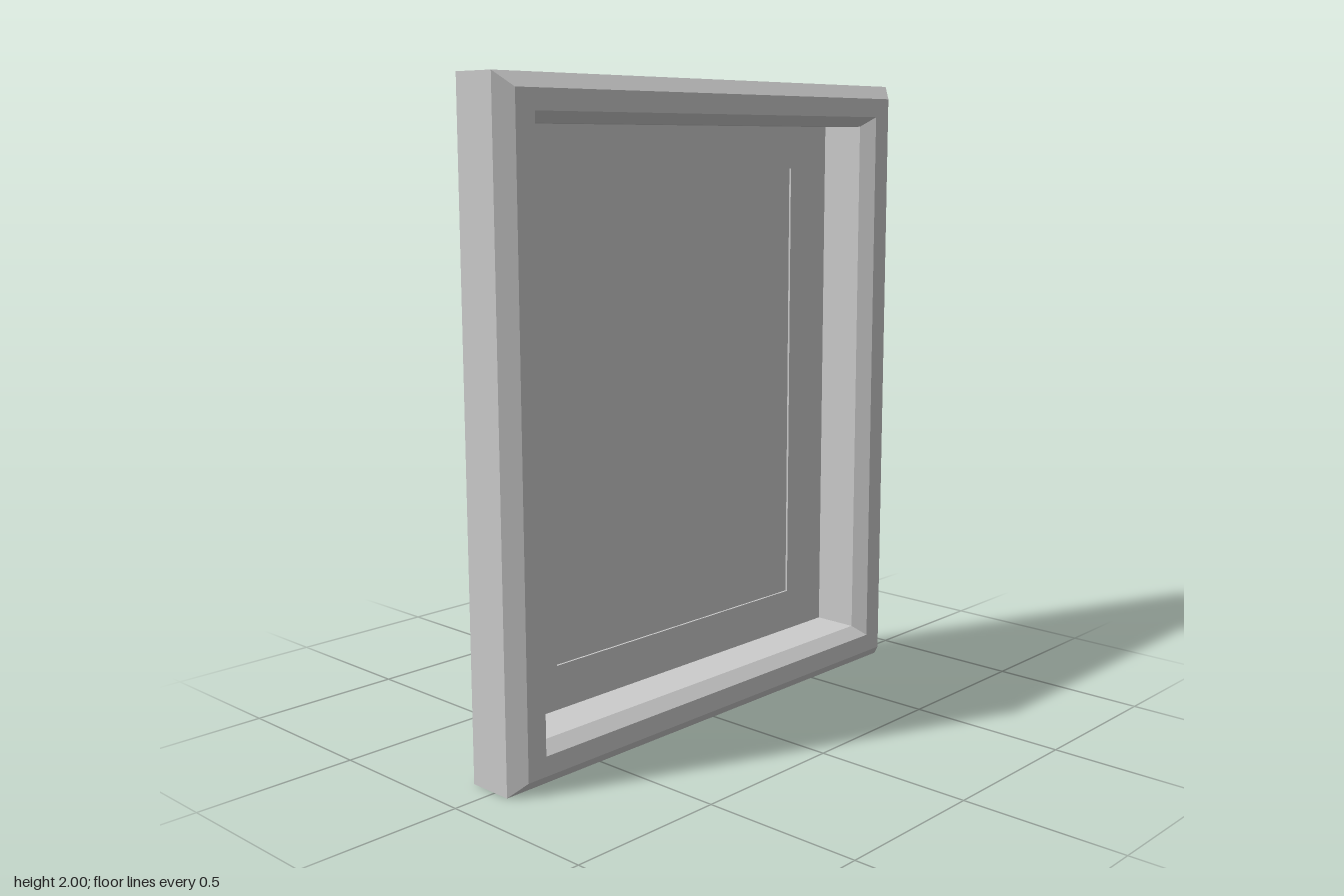
import * as THREE from 'three';

const material = new THREE.MeshStandardMaterial({ color: 0xcccccc, side: THREE.DoubleSide, flatShading: true });

// Four corners of a rectangle, counter-clockwise from the front: [half width, half height, z]
const corners = ([w, h, z]) => [[-w, -h, z], [w, -h, z], [w, h, z], [-w, h, z]];

function addQuad(out, a, b, c, d) {
  out.push(...a, ...b, ...c, ...a, ...c, ...d);
}

// Mitred band through successive rectangles, optionally closed by the last one
function sheet(name, rects, capped = false) {
  const out = [];
  const loops = rects.map(corners);
  for (let i = 0; i < loops.length - 1; i++) {
    for (let j = 0; j < 4; j++) {
      const k = (j + 1) % 4;
      addQuad(out, loops[i][j], loops[i][k], loops[i + 1][k], loops[i + 1][j]);
    }
  }
  if (capped) addQuad(out, ...loops[loops.length - 1]);
  const geometry = new THREE.BufferGeometry();
  geometry.setAttribute('position', new THREE.Float32BufferAttribute(out, 3));
  geometry.computeVertexNormals();
  const mesh = new THREE.Mesh(geometry, material);
  mesh.name = name;
  mesh.position.y = 1;
  return mesh;
}

export function createModel() {
  const group = new THREE.Group();
  group.name = 'framedPanel';

  const outerBack = [0.86, 1, -0.091];
  const outerEdge = [0.86, 1, 0.054];
  const faceOuter = [0.817, 0.957, 0.098];
  const faceInner = [0.75, 0.897, 0.098];
  const innerEdge = [0.718, 0.866, 0.056];
  const panelEdge = [0.718, 0.866, -0.091];
  const recessTop = [0.537, 0.728, -0.091];
  const recessBase = [0.537, 0.728, -0.098];

  // Hollow surround, open at the back
  group.add(sheet('outerWall', [outerBack, outerEdge]));
  group.add(sheet('frameMoulding', [outerEdge, faceOuter, faceInner, innerEdge]));
  // Tray inside the surround
  group.add(sheet('innerWall', [innerEdge, panelEdge]));
  group.add(sheet('backPanel', [panelEdge, recessTop]));
  // Shallow pressed field that stands out behind the panel
  group.add(sheet('recessedField', [recessTop, recessBase], true));

  return group;
}
